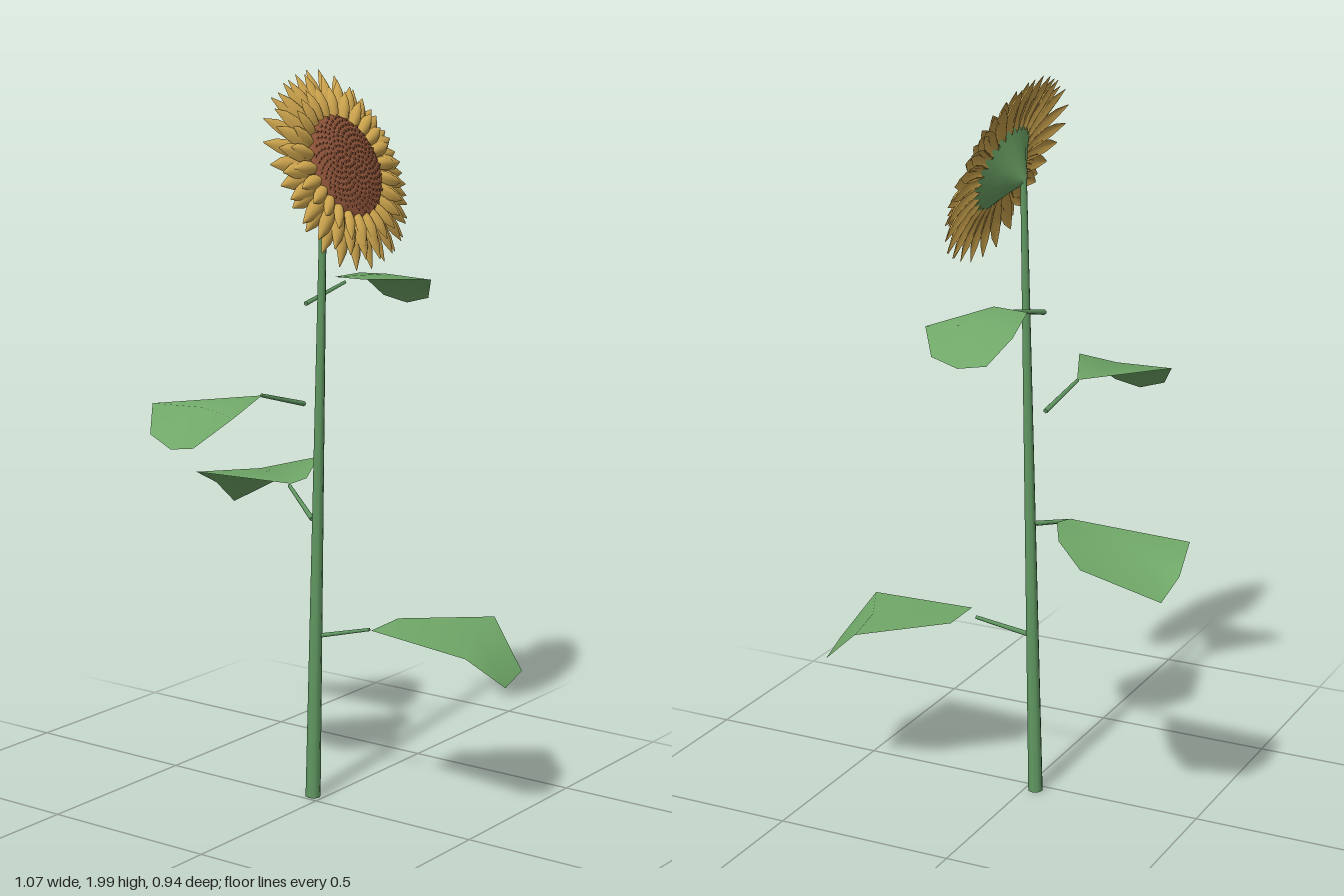
import * as THREE from 'three';
import { mergeGeometries } from 'three/addons/utils/BufferGeometryUtils.js';

const mat = (name, color, side = THREE.DoubleSide) => {
  const m = new THREE.MeshStandardMaterial({ color, side });
  m.name = name;
  return m;
};

// Tapered rod between two points
function rod(a, b, r0, r1, sides) {
  const p = new THREE.Vector3(...a), q = new THREE.Vector3(...b);
  const d = q.clone().sub(p);
  const g = new THREE.CylinderGeometry(r1, r0, d.length(), sides);
  g.applyQuaternion(new THREE.Quaternion().setFromUnitVectors(new THREE.Vector3(0, 1, 0), d.normalize()));
  const c = p.add(q).multiplyScalar(0.5);
  return g.translate(c.x, c.y, c.z);
}

// Leaf blade: a smooth fan from a middle point to its outline
function blade(middle, outline) {
  const g = new THREE.BufferGeometry();
  g.setAttribute('position', new THREE.Float32BufferAttribute([middle, ...outline].flat(), 3));
  const n = outline.length, index = [];
  for (let i = 0; i < n; i++) index.push(0, 1 + i, 1 + (i + 1) % n);
  g.setIndex(index);
  g.computeVertexNormals();
  return g;
}

// Cupped, pointed petal growing along +x, with +y as its face
function petal(start, length, width, lift, droop) {
  const widths = [0.45, 0.85, 1, 0.75, 0.06], across = 5, pos = [], index = [];
  widths.forEach((w, i) => {
    const t = i / (widths.length - 1);
    for (let j = 0; j < across; j++) {
      const s = j / (across - 1) * 2 - 1;
      pos.push(start + length * t,
        lift + 0.012 * Math.sin(t * Math.PI) - droop * t * t - 0.012 * s * s * w,
        s * w * width / 2);
      if (i && j) {
        const k = i * across + j;
        index.push(k, k - across, k - across - 1, k, k - across - 1, k - 1);
      }
    }
  });
  const g = new THREE.BufferGeometry();
  g.setAttribute('position', new THREE.Float32BufferAttribute(pos, 3));
  g.setIndex(index);
  g.computeVertexNormals();
  return g;
}

export function createModel() {
  const model = new THREE.Group();
  const leafGreen = mat('leaf green', 0x70a868);
  const stemGreen = mat('stem green', 0x619962);
  const gold = mat('petal gold', 0xcfa64e);
  const brown = mat('seed brown', 0x97593d);
  const add = (parent, name, geometry, material) => {
    const m = new THREE.Mesh(geometry, material);
    m.name = name;
    parent.add(m);
  };

  add(model, 'stem', rod([-0.03, 0, -0.027], [0.005, 1.72, -0.027], 0.021, 0.009, 8), stemGreen);

  // Leaves, each with a stalk (from, to) and a drooping blade
  const leaves = [
    { name: 'lowerLeaf', stalk: [[-0.02, 0.46, -0.03], [0.135, 0.497, -0.06]],
      middle: [0.39, 0.505, -0.18],
      outline: [[0.165, 0.507, -0.025], [0.483, 0.49, 0.003], [0.53, 0.39, -0.12],
        [0.485, 0.392, -0.275], [0.355, 0.507, -0.34], [0.16, 0.51, -0.16]] },
    { name: 'rightLeaf', stalk: [[-0.035, 0.785, -0.03], [-0.18, 0.843, -0.12]],
      middle: [-0.37, 0.848, -0.235],
      outline: [[-0.165, 0.855, -0.18], [-0.175, 0.848, -0.122], [-0.515, 0.838, -0.125],
        [-0.535, 0.785, -0.24], [-0.505, 0.725, -0.285], [-0.34, 0.83, -0.415], [-0.255, 0.875, -0.36]] },
    { name: 'frontLeaf', stalk: [[-0.058, 1.1, -0.025], [-0.075, 1.145, 0.14]],
      middle: [-0.095, 1.143, 0.355],
      outline: [[-0.073, 1.145, 0.14], [-0.25, 1.14, 0.375], [-0.2, 1.075, 0.445],
        [-0.12, 1.047, 0.46], [-0.04, 1.06, 0.467], [0.045, 1.138, 0.41]] },
    { name: 'backLeaf', stalk: [[-0.056, 1.37, -0.03], [-0.05, 1.41, -0.2]],
      middle: [-0.04, 1.415, -0.38],
      outline: [[-0.1, 1.418, -0.22], [0, 1.42, -0.21], [0.09, 1.405, -0.41],
        [0.045, 1.345, -0.465], [-0.03, 1.325, -0.47], [-0.11, 1.34, -0.47], [-0.157, 1.405, -0.42]] },
  ];
  for (const { name, stalk, middle, outline } of leaves) {
    const leaf = new THREE.Group();
    leaf.name = name;
    add(leaf, 'stalk', rod(...stalk, 0.007, 0.005, 6), stemGreen);
    add(leaf, 'blade', blade(middle, outline), leafGreen);
    model.add(leaf);
  }

  // Flower head, built facing +y and then tipped towards +x
  const head = new THREE.Group();
  head.name = 'flowerHead';
  const v = (x, y) => new THREE.Vector2(x, y);
  add(head, 'calyx', new THREE.LatheGeometry(
    [v(0.01, -0.078), v(0.05, -0.05), v(0.1, -0.02), v(0.135, -0.002)], 16), leafGreen);
  add(head, 'seedDisc', new THREE.LatheGeometry(
    [v(0.142, 0.004), v(0.13, 0.016), v(0.07, 0.022), v(0, 0.024)], 32), brown);

  // Low seed bumps on a golden-angle spiral
  const seeds = [];
  for (let i = 0; i < 240; i++) {
    const r = 0.132 * Math.sqrt((i + 0.5) / 240), a = i * 2.39996;
    const g = new THREE.ConeGeometry(0.006, 0.006, 5);
    seeds.push(g.translate(r * Math.cos(a), 0.0255 - 0.45 * r * r, r * Math.sin(a)));
  }
  add(head, 'seeds', mergeGeometries(seeds), brown);

  // Three staggered rings: start, length, width, lift, droop
  const rings = [
    ['backPetals', 0.11, 0.165, 0.052, -0.008, 0.012, 0],
    ['middlePetals', 0.115, 0.145, 0.05, 0.001, 0.008, 0.5],
    ['innerPetals', 0.122, 0.095, 0.04, 0.008, -0.004, 0.25],
  ];
  const count = 26;
  for (const [name, start, length, width, lift, droop, shift] of rings) {
    const petals = [];
    for (let i = 0; i < count; i++) {
      const vary = Math.sin(i * 5.3 + shift * 7);
      const g = petal(start, length * (1 + 0.05 * vary), width, lift, droop + 0.006 * vary);
      petals.push(g.rotateY((i + shift + 0.12 * vary) / count * Math.PI * 2));
    }
    add(head, name, mergeGeometries(petals), gold);
  }
  head.position.set(0.072, 1.741, -0.027);
  head.rotation.z = -1.17;
  model.add(head);
  return model;
}
